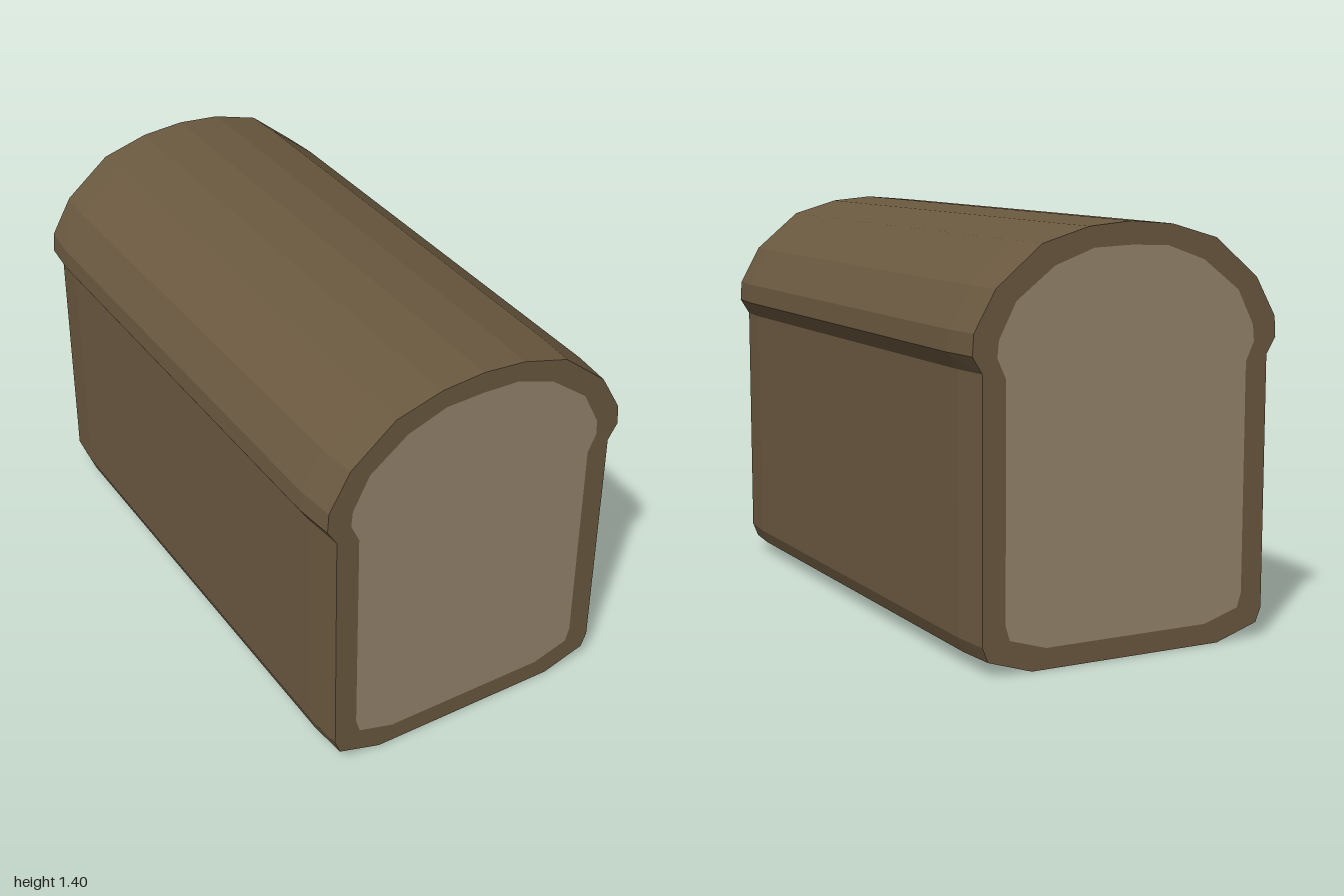
import * as THREE from 'three';

// Half outlines (x, y), from the base up to the centre of the crown
const OUTER = [[0.36, 0], [0.52, 0.05], [0.54, 0.1], [0.54, 0.955], [0.575, 1.01],
  [0.57, 1.08], [0.493, 1.212], [0.328, 1.344], [0.157, 1.392], [0, 1.405]];
const INNER = [[0.3, 0.07], [0.43, 0.11], [0.445, 0.16], [0.445, 0.935], [0.475, 1.0],
  [0.47, 1.055], [0.41, 1.172], [0.275, 1.275], [0.135, 1.325], [0, 1.33]];

// Mirror a half outline into a closed, counter-clockwise loop
const mirror = (half, sx = 1) => [
  ...half.map(([x, y]) => [x * sx, y]),
  ...half.slice(0, -1).reverse().map(([x, y]) => [-x * sx, y]),
];

// Skin a series of loops placed along z
function loft(sections) {
  const pos = [];
  const n = sections[0].loop.length;
  for (let s = 0; s < sections.length - 1; s++) {
    const [p, q] = [sections[s], sections[s + 1]];
    for (let i = 0; i < n; i++) {
      const j = (i + 1) % n;
      const a = [...p.loop[i], p.z], b = [...p.loop[j], p.z];
      const c = [...q.loop[j], q.z], d = [...q.loop[i], q.z];
      pos.push(...a, ...b, ...c, ...a, ...c, ...d);
    }
  }
  const geo = new THREE.BufferGeometry();
  geo.setAttribute('position', new THREE.Float32BufferAttribute(pos, 3));
  geo.computeVertexNormals();
  return geo;
}

export function createModel() {
  const loaf = new THREE.Group();
  loaf.name = 'breadLoaf';
  const crustMat = new THREE.MeshStandardMaterial({ color: 0x6b5940, flatShading: true });
  const crumbMat = new THREE.MeshStandardMaterial({ color: 0x97856d, flatShading: true });

  // Crust: long skin narrowing at the ends, closed by a rim around each cut face
  const inner = mirror(INNER), end = mirror(OUTER, 0.975), mid = mirror(OUTER);
  const crust = new THREE.Mesh(loft([
    { loop: inner, z: -1 }, { loop: end, z: -1 }, { loop: mid, z: -0.86 },
    { loop: mid, z: 0.86 }, { loop: end, z: 1 }, { loop: inner, z: 1 },
  ]), crustMat);
  crust.name = 'crust';
  loaf.add(crust);

  // Crumb: pale cut face at each end
  const shape = new THREE.Shape(inner.map(([x, y]) => new THREE.Vector2(x, y)));
  for (const side of [1, -1]) {
    const crumb = new THREE.Mesh(new THREE.ShapeGeometry(shape), crumbMat);
    crumb.name = side > 0 ? 'crumbFront' : 'crumbBack';
    crumb.position.z = side;
    crumb.rotation.y = side > 0 ? 0 : Math.PI;
    loaf.add(crumb);
  }
  return loaf;
}
